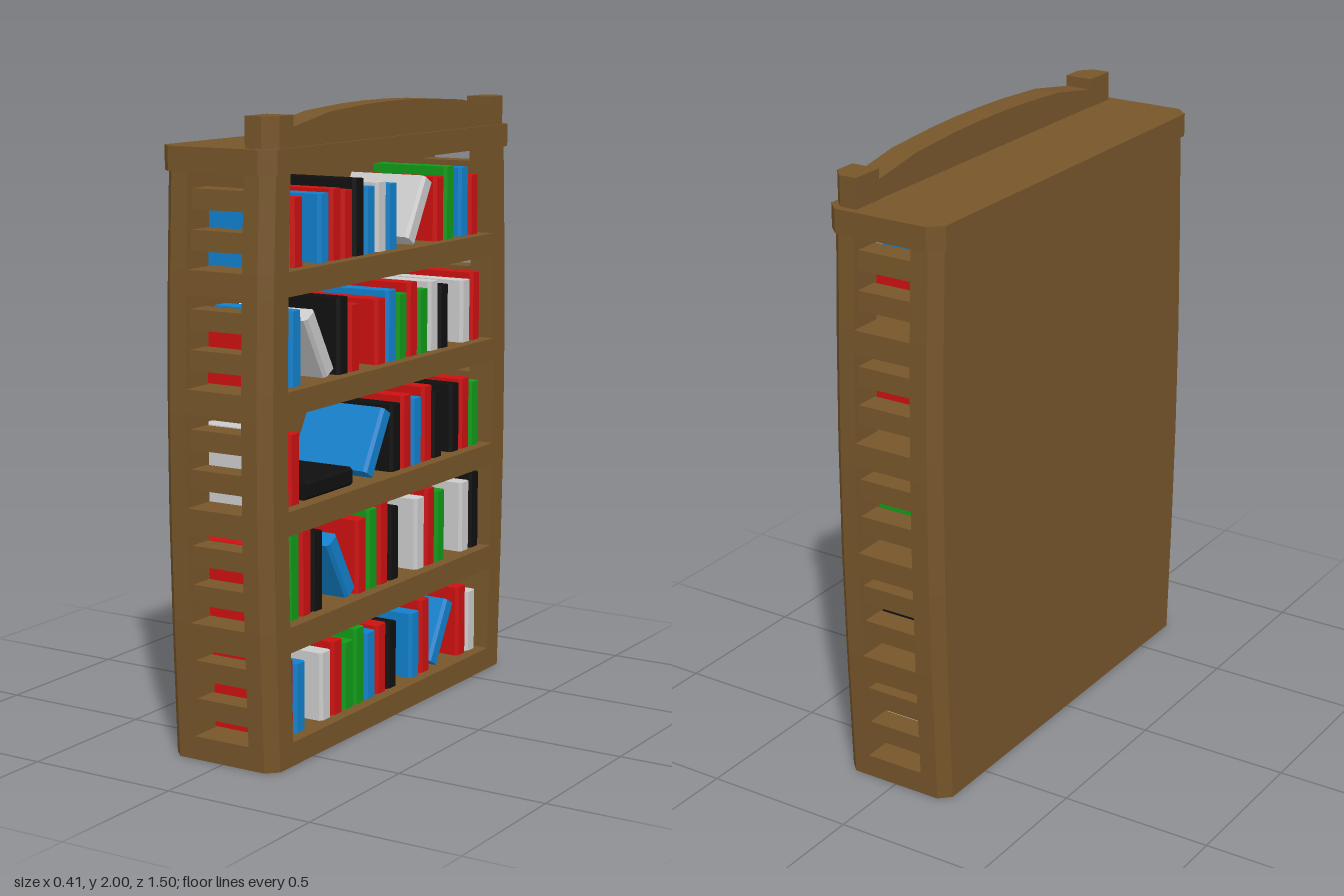
import * as THREE from 'three';

const paint = (color) => new THREE.MeshStandardMaterial({ color, flatShading: true });
const wood = paint(0x76552a);
const covers = {
  R: paint(0xcc1111), B: paint(0x1280cc), G: paint(0x119a18), W: paint(0xcccccc), K: paint(0x101010),
};

// Extrude a plan outline of [x, z] points from y0 up to y1
function prism(points, y0, y1) {
  const shape = new THREE.Shape(points.map(([x, z]) => new THREE.Vector2(x, -z)));
  const g = new THREE.ExtrudeGeometry(shape, { depth: y1 - y0, bevelEnabled: false });
  return g.rotateX(-Math.PI / 2).translate(0, y0, 0);
}

// Barrel the case: widen z towards the middle height
function bulge(g) {
  const p = g.attributes.position;
  for (let i = 0; i < p.count; i++) {
    p.setZ(i, p.getZ(i) * (1 + 0.042 * Math.sin(Math.PI * p.getY(i) / 1.95)));
  }
  g.computeVertexNormals();
  return g;
}

function box(x0, x1, y0, y1, z0, z1) {
  return new THREE.BoxGeometry(x1 - x0, y1 - y0, z1 - z0)
    .translate((x0 + x1) / 2, (y0 + y1) / 2, (z0 + z1) / 2);
}

// Rectangle with chamfered corners
const octagon = (x0, x1, z, c) => [
  [x0 + c, -z], [x1 - c, -z], [x1, -z + c], [x1, z - c],
  [x1 - c, z], [x0 + c, z], [x0, z - c], [x0, -z + c],
];

export function createModel() {
  const root = new THREE.Group();
  root.name = 'bookcase';
  const add = (name, geometry, material = wood, parent = root) => {
    const m = new THREE.Mesh(geometry, material);
    m.name = name;
    parent.add(m);
    return m;
  };

  const floors = [0.075, 0.44, 0.8, 1.165, 1.525];
  const tops = [0.36, 0.725, 1.09, 1.45, 1.815];
  const X0 = -0.195, X1 = 0.19, Z = 0.72, IN = 0.61, C = 0.035;

  floors.forEach((y0, i) => {
    const y1 = tops[i];
    // Shelf board under this bay
    add('shelfBoard', bulge(prism(octagon(X0, X1, Z, C), i ? tops[i - 1] : 0, y0)));
    add('backPanel', bulge(box(X0, -0.15, y0, y1, -IN, IN)));

    for (const s of [1, -1]) {
      // Corner posts with chamfered outer edge
      for (const [edge, inner, c] of [[X1, 0.1, -C], [X0, -0.1, C]]) {
        add('cornerPost', bulge(prism([
          [inner, s * IN], [edge, s * IN], [edge, s * (Z - C)], [edge + c, s * Z], [inner, s * Z],
        ], y0, y1)));
      }
      // Two slats across the open side
      for (const dy of [0.055, 0.178]) {
        const z = [s * 0.62, s * 0.7].sort((a, b) => a - b);
        add('sideSlat', bulge(box(-0.1, 0.1, y0 + dy, y0 + dy + 0.062, ...z)));
      }
    }
  });

  // Cornice and crest
  add('cornice', prism(octagon(-0.205, 0.2, 0.74, 0.042), 1.815, 1.89));
  const arch = new THREE.Shape();
  arch.moveTo(-0.6, 1.89);
  arch.lineTo(0.6, 1.89);
  arch.lineTo(0.6, 1.95);
  for (const z of [0.4, 0.2, 0.07, -0.07, -0.2, -0.4, -0.6]) {
    arch.lineTo(z, z === -0.6 ? 1.95 : 2 - 0.1 * Math.max(0, z * z - 0.005));
  }
  add('archedCrest', new THREE.ExtrudeGeometry(arch, { depth: 0.09, bevelEnabled: false })
    .rotateY(Math.PI / 2).translate(0.1, 0, 0));
  for (const s of [1, -1]) {
    add('crestPost', prism([
      [0.097, s * 0.6], [0.192, s * 0.6], [0.192, s * 0.675], [0.155, s * 0.715], [0.097, s * 0.715],
    ], 1.89, 1.985));
  }

  // Books: plan outline with a softened spine, centred on its own middle
  const T = 0.03, FRONT = 0.15, BACK = -0.13;
  const bookShape = [
    [BACK, -T], [FRONT - 0.01, -T], [FRONT, -T + 0.01], [FRONT, T - 0.01], [FRONT - 0.01, T], [BACK, T],
  ];
  const books = new THREE.Group();
  books.name = 'books';
  root.add(books);
  const book = (color, z, y, h, angle = 0) => {
    const m = add('book', prism(bookShape, -h / 2, h / 2), covers[color], books);
    m.position.set(0, y, z);
    m.rotation.x = angle;
  };

  // Each row: first book's z, then colour + height in hundredths; _n is a gap.
  // lean: colour, z and direction of the tilted book
  const rows = [
    { z: 0.575, list: 'R24 B22 _8 W22 R24 G22 G25 B22 R23 K22 _8 B22 R25 _18 R24 W21', lean: ['B', -0.364, -1] },
    { z: 0.607, list: 'R24 G27 R27 K25 _19 R24 G26 R28 K24 _10 W24 R26 G24 _10 W24 K26', lean: ['B', 0.268, 1] },
    { z: 0.602, list: 'W24 R22 _53 K22 R24 B22 R25 K22 _5 K23 R24 G22', lean: ['B', 0.05, -1] },
    { z: 0.592, list: 'R21 B23 _20 K24 R21 _9 R21 B23 G21 R24 G21 W23 K21 _8 W21 R23', lean: ['W', 0.392, 1] },
    { z: 0.58, list: 'B22 R21 _8 B21 R22 R21 K24 B21 W22 B21 _23 R21 G24 _3 B23 R20', lean: ['W', -0.204, -1] },
  ];
  rows.forEach(({ z, list, lean }, i) => {
    const y = floors[i];
    for (const token of list.split(' ')) {
      const n = Number(token.slice(1)) / 100;
      if (token[0] === '_') { z -= n; continue; }
      book(token[0], z, y + n / 2, n);
      z -= 0.067;
    }
    book(lean[0], lean[1], y + 0.111, 0.22, lean[2] * Math.PI / 6);
  });
  // Book lying flat on the middle shelf
  book('K', 0.34, floors[2] + T, 0.265, Math.PI / 2);

  return root;
}
